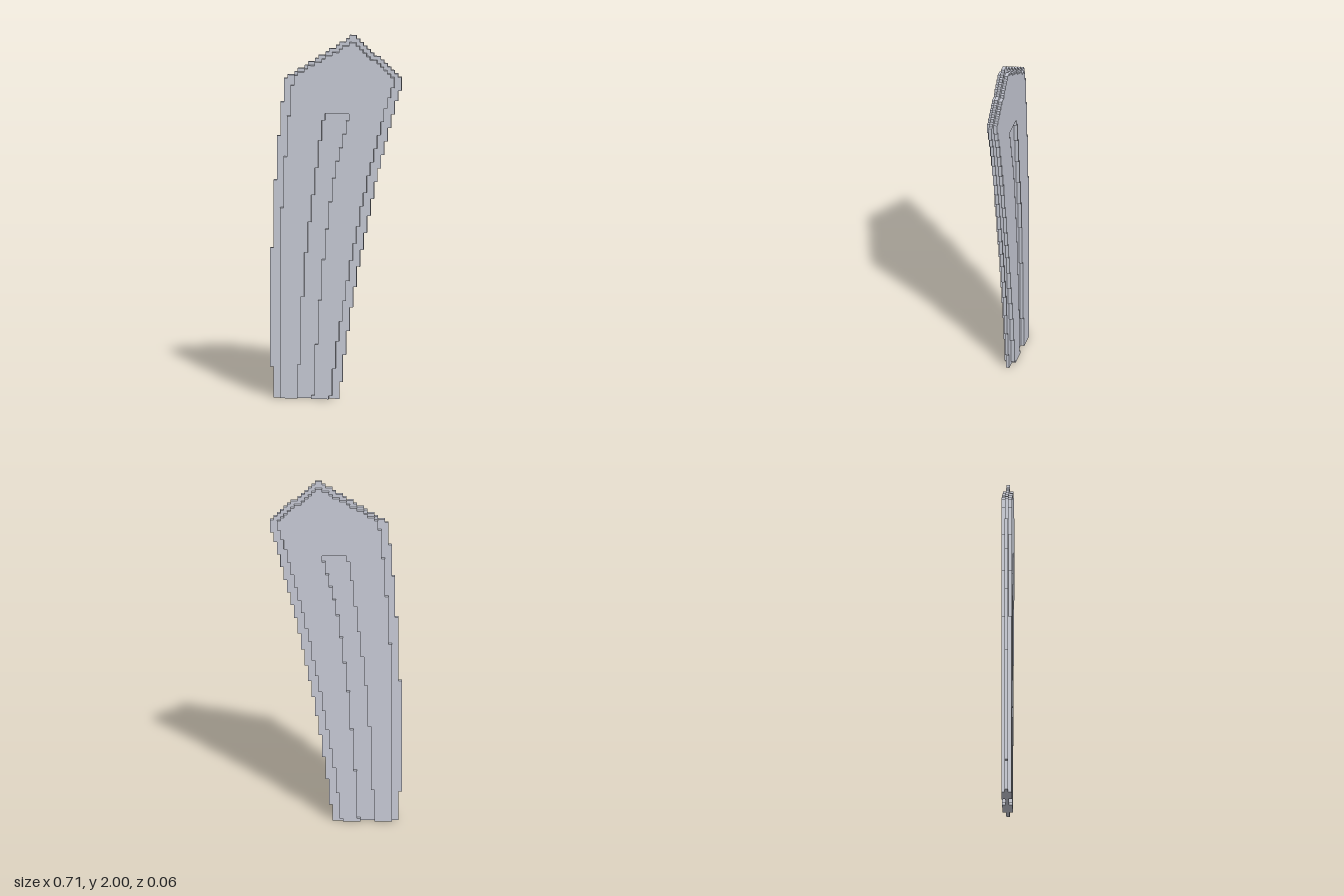
import * as THREE from 'three';

const V = 2 / 107; // height and depth of one block
const W = 0.714 / 38; // width of one block
const steel = new THREE.MeshStandardMaterial({ color: 0xc7cad5 });
steel.name = 'light steel grey';

// Stepped edge: one column per row, changing at each row in `ends`
function edge(ends, columns) {
  const rows = [];
  ends.forEach((end, i) => {
    while (rows.length < end) rows.push(columns(i));
  });
  return rows;
}

// Continue an edge in even steps to the tip
function addTip(rows, from, to, top) {
  const start = rows.length;
  for (let r = start; r < top; r++) {
    rows.push(Math.round(from + (to - from) * (r - start) / (top - 1 - start)));
  }
  return rows;
}

// Corner points going up a stepped edge
function climb(rows) {
  const points = [];
  rows.forEach((k, r) => {
    if (r === 0 || k !== rows[r - 1]) points.push([k, r]);
    if (r === rows.length - 1 || k !== rows[r + 1]) points.push([k, r + 1]);
  });
  return points.map(([k, r]) => new THREE.Vector2((k - 19) * W, r * V));
}

function plate(name, points, layer) {
  const geometry = new THREE.ExtrudeGeometry(new THREE.Shape(points), { depth: V, bevelEnabled: false });
  geometry.translate(0, 0, (layer - 0.5) * V);
  const mesh = new THREE.Mesh(geometry, steel);
  mesh.name = name;
  return mesh;
}

export function createModel() {
  const blade = new THREE.Group();
  blade.name = 'blade';

  // Cutting edge: the wide middle layer
  const outerLeft = addTip(edge([9, 44, 64, 77, 87, 94], i => [1, 0, 1, 2, 3, 4][i]), 5, 23, 107);
  const outerRight = addTip(
    edge([5, 13, 20, 27, 33, 39, 44, 49, 54, 59, 64, 68, 72, 76, 80, 84, 88, 91, 95], i => 20 + i), 37, 25, 107);
  blade.add(plate('cuttingEdge', [...climb(outerRight), ...climb(outerLeft).reverse()], 0));

  // Raised faces: a narrower outline with a groove open at the bottom
  const innerLeft = addTip(edge([56, 71, 83, 92, 95], i => 3 + i), 8, 23, 105);
  const innerRight = addTip(
    edge([1, 9, 17, 23, 29, 35, 41, 46, 51, 57, 61, 66, 70, 74, 78, 82, 86, 89, 92, 95], i => 17 + i), 35, 25, 105);
  const grooveLeft = edge([10, 30, 43, 52, 60, 68, 76, 82, 84], i => 8 + i);
  const grooveRight = edge([1, 16, 29, 41, 50, 58, 65, 70, 74, 78, 82, 84], i => 12 + i);
  const face = [
    ...climb(innerRight), ...climb(innerLeft).reverse(),
    ...climb(grooveLeft), ...climb(grooveRight).reverse(),
  ];
  blade.add(plate('frontFace', face, 1), plate('backFace', face, -1));

  const model = new THREE.Group();
  model.name = 'swordBlade';
  model.add(blade);
  return model;
}
